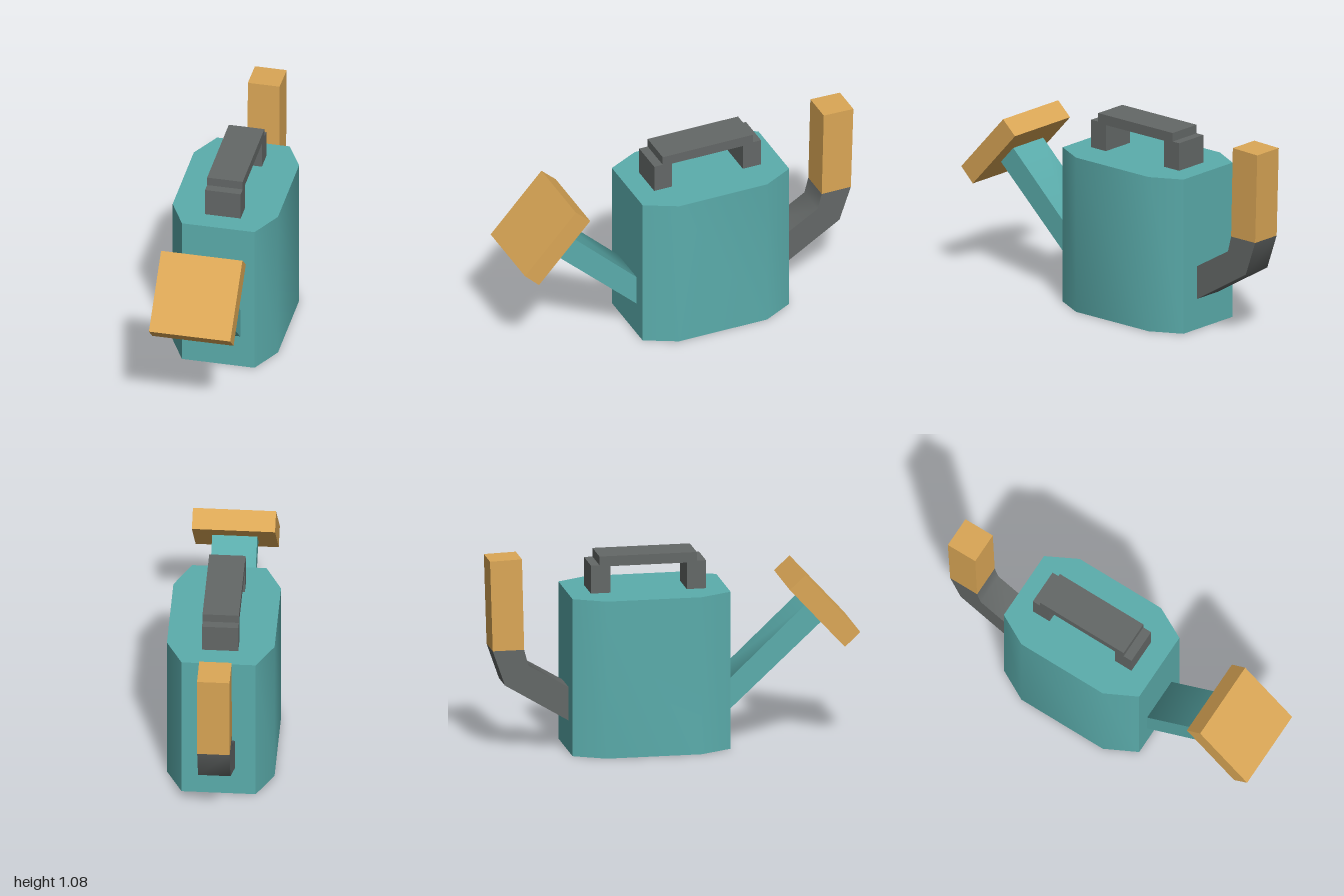
import * as THREE from 'three';
import { toCreasedNormals } from 'three/addons/utils/BufferGeometryUtils.js';

const CREASE = 0.85;

function material(name, color) {
  const m = new THREE.MeshStandardMaterial({ color });
  m.name = name;
  return m;
}

function extrude(points, depth) {
  const shape = new THREE.Shape(points.map(([a, b]) => new THREE.Vector2(a, b)));
  return new THREE.ExtrudeGeometry(shape, { depth, bevelEnabled: false });
}

// Side outline given as [z, y] points, extruded across x and centred
function sidePart(name, points, width, mat) {
  const geo = extrude(points, width);
  geo.rotateY(-Math.PI / 2).translate(width / 2, 0, 0);
  const mesh = new THREE.Mesh(toCreasedNormals(geo, CREASE), mat);
  mesh.name = name;
  return mesh;
}

export function createModel() {
  const teal = material('teal', 0x5badac);
  const grey = material('grey', 0x646867);
  const wood = material('wood', 0xdba756);
  const group = new THREE.Group();
  group.name = 'wateringCan';

  // Eight-sided tank, outline as [x, -z]
  const half = [[0.2, -0.295], [0.29, -0.12], [0.29, 0.4], [0.2, 0.57]];
  const outline = [...half, ...half.map(([x, y]) => [-x, y]).reverse()];
  const tankGeo = extrude(outline, 0.87).rotateX(-Math.PI / 2);
  const tank = new THREE.Mesh(toCreasedNormals(tankGeo, CREASE), teal);
  tank.name = 'tank';
  group.add(tank);

  // Spout and its sprinkler head
  group.add(
    sidePart('spout', [[0.295, 0.19], [0.81, 0.665], [0.72, 0.76], [0.295, 0.36]], 0.243, teal),
    sidePart('sprinklerHead', [[1, 0.62], [0.7, 0.948], [0.615, 0.87], [0.917, 0.54]], 0.448, wood),
  );

  // Rear handle: bent arm and upright grip
  group.add(
    sidePart('handleArm', [[-0.57, 0.17], [-0.57, 0.355], [-0.79, 0.485], [-0.813, 0.573],
      [-0.985, 0.573], [-0.918, 0.38]], 0.175, grey),
    sidePart('handleGrip', [[-0.813, 0.573], [-0.825, 1.075], [-1, 1.07], [-0.985, 0.573]], 0.175, wood),
  );

  // Carrying handle on top: two stepped posts joined by a bar
  group.add(sidePart('topHandle', [
    [0.18, 0.87], [0.18, 1.025], [0.13, 1.025], [0.13, 1.073],
    [-0.403, 1.073], [-0.403, 1.025], [-0.45, 1.025], [-0.45, 0.87],
    [-0.343, 0.87], [-0.343, 1.017], [0.075, 1.017], [0.075, 0.87],
  ], 0.196, grey));

  return group;
}
